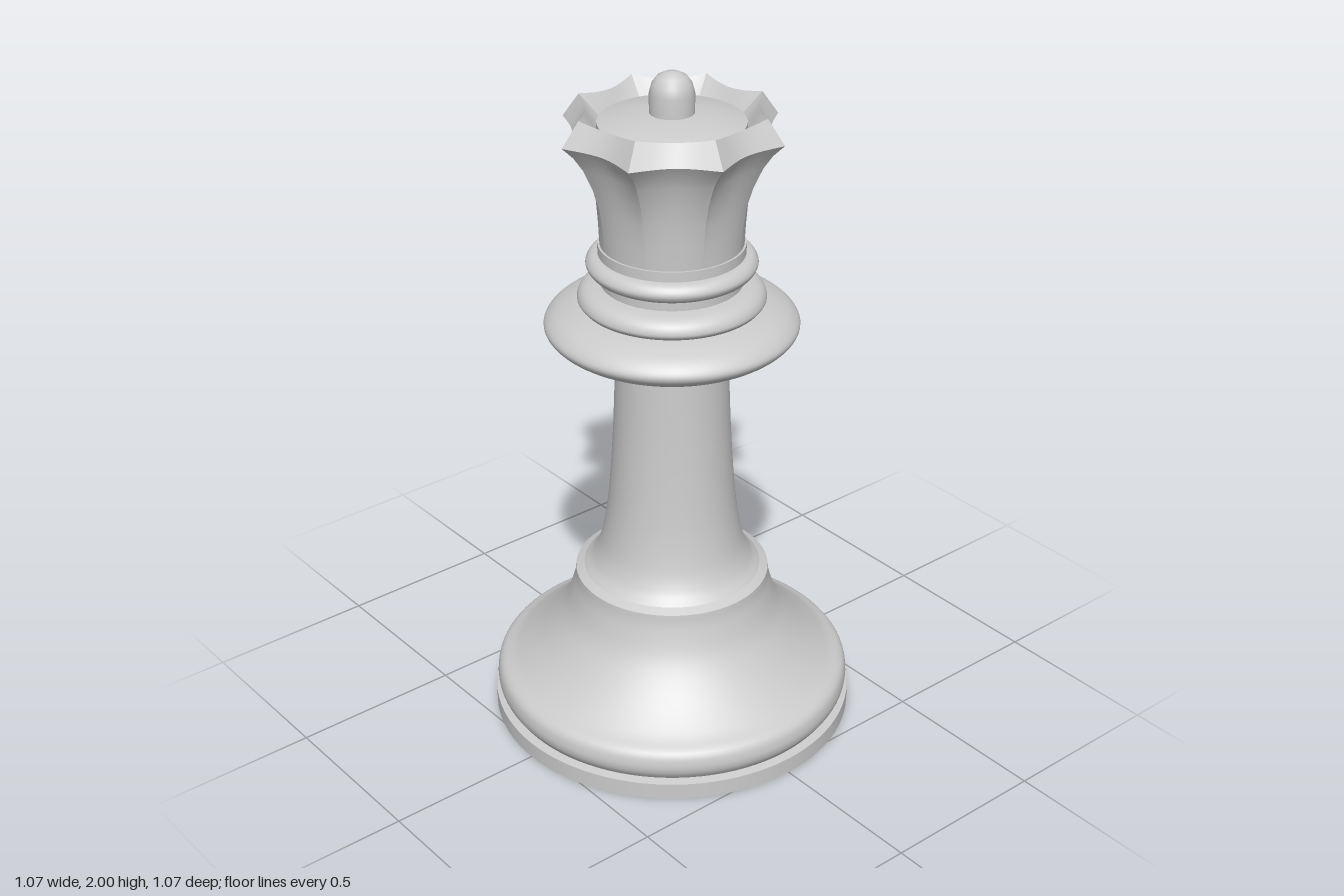
import * as THREE from 'three';

const material = new THREE.MeshStandardMaterial({ color: 0xcccccc });
const SEGMENTS = 96;

// Turned part: profile of [radius, height], listed from the bottom up.
// smooth > 0 resamples the profile along a spline.
function turned(name, profile, smooth = 0) {
  let pts = profile.map(([r, y]) => new THREE.Vector2(r, y));
  if (smooth) pts = new THREE.SplineCurve(pts).getPoints(smooth);
  const mesh = new THREE.Mesh(new THREE.LatheGeometry(pts, SEGMENTS), material);
  mesh.name = name;
  return mesh;
}

// Sharp-edged turned part: each straight step is its own surface.
function stepped(name, profile) {
  const group = new THREE.Group();
  group.name = name;
  for (let i = 0; i < profile.length - 1; i++) {
    group.add(turned(name + 'Face', [profile[i], profile[i + 1]]));
  }
  return group;
}

// One eighth of the crown, from rows of [tip radius, valley radius, tip height, valley height].
function crownSector(rows, steps = 12) {
  const position = [], index = [];
  for (const [tipR, valleyR, tipY, valleyY] of rows) {
    for (let i = 0; i <= steps; i++) {
      const u = (2 * i) / steps - 1;
      const angle = (u * Math.PI) / 8;
      const r = valleyR + (tipR - valleyR) * u * u;
      const y = valleyY + (tipY - valleyY) * u * u;
      position.push(r * Math.sin(angle), y, r * Math.cos(angle));
    }
  }
  for (let j = 0; j < rows.length - 1; j++) {
    for (let i = 0; i < steps; i++) {
      const a = j * (steps + 1) + i, b = a + 1, c = b + steps + 1, d = a + steps + 1;
      index.push(a, b, c, a, c, d);
    }
  }
  const geometry = new THREE.BufferGeometry();
  geometry.setAttribute('position', new THREE.Float32BufferAttribute(position, 3));
  geometry.setIndex(index);
  geometry.computeVertexNormals();
  return geometry;
}

// Crown layer: the sector repeated around the axis, creased at the eight tips.
function crownLayer(name, rows) {
  const group = new THREE.Group();
  group.name = name;
  const geometry = crownSector(rows);
  for (let k = 0; k < 8; k++) {
    const mesh = new THREE.Mesh(geometry, material);
    mesh.name = name + 'Scallop';
    mesh.rotation.y = THREE.MathUtils.degToRad(30 + 22.5 + 45 * k);
    group.add(mesh);
  }
  return group;
}

export function createModel() {
  const model = new THREE.Group();
  model.name = 'chessQueen';

  // Foot with a shallow round recess underneath
  model.add(stepped('foot', [
    [0, 0.05], [0.325, 0.05], [0.325, 0], [0.535, 0], [0.535, 0.05], [0.51, 0.055],
  ]));

  // Rounded base sweeping up to a ledge
  model.add(turned('base', [
    [0.51, 0.055], [0.525, 0.08], [0.528, 0.11], [0.515, 0.143], [0.465, 0.173],
    [0.39, 0.24], [0.325, 0.325], [0.293, 0.41], [0.285, 0.46],
  ], 40));
  model.add(turned('baseLedge', [[0.285, 0.46], [0.26, 0.472]]));

  // Flared column
  model.add(turned('column', [
    [0.26, 0.472], [0.232, 0.505], [0.207, 0.57], [0.186, 0.7], [0.17, 0.92], [0.16, 1.18],
  ], 32));

  // Wide collar and the smaller one above it
  model.add(turned('collar', [
    [0.155, 1.178], [0.2, 1.182], [0.27, 1.2], [0.335, 1.232], [0.36, 1.265],
    [0.335, 1.298], [0.29, 1.32], [0.255, 1.33],
  ], 36));
  model.add(turned('upperCollar', [
    [0.255, 1.33], [0.265, 1.345], [0.257, 1.367], [0.235, 1.383], [0.2, 1.39],
  ], 20));

  // Neck with a thin ring
  model.add(turned('neck', [[0.2, 1.385], [0.2, 1.425]]));
  model.add(turned('neckRing', [
    [0.2, 1.42], [0.226, 1.427], [0.24, 1.45], [0.226, 1.473], [0.2, 1.48],
  ], 20));
  model.add(stepped('neckBand', [[0.206, 1.475], [0.206, 1.508], [0.195, 1.508]]));

  // Scalloped crown: flared wall, bevelled rim and inner slope
  model.add(crownLayer('crownWall', [
    [0.2, 0.2, 1.505, 1.505], [0.205, 0.203, 1.57, 1.57], [0.215, 0.208, 1.64, 1.64],
    [0.233, 0.217, 1.7, 1.7], [0.26, 0.232, 1.76, 1.76], [0.287, 0.248, 1.8, 1.8],
    [0.319, 0.268, 1.832, 1.832],
  ]));
  model.add(crownLayer('crownRim', [[0.319, 0.268, 1.832, 1.832], [0.27, 0.235, 1.902, 1.89]]));
  model.add(crownLayer('crownInside', [[0.27, 0.235, 1.902, 1.89], [0.203, 0.203, 1.84, 1.84]]));

  // Low domed cap with a round-topped finial
  model.add(turned('capEdge', [[0.203, 1.838], [0.203, 1.86]]));
  model.add(turned('cap', [[0.203, 1.86], [0.14, 1.875], [0.07, 1.885], [0, 1.888]], 12));
  model.add(turned('finial', [
    [0.062, 1.88], [0.062, 1.94], [0.055, 1.967], [0.041, 1.986], [0.02, 1.997], [0, 2],
  ]));

  return model;
}
